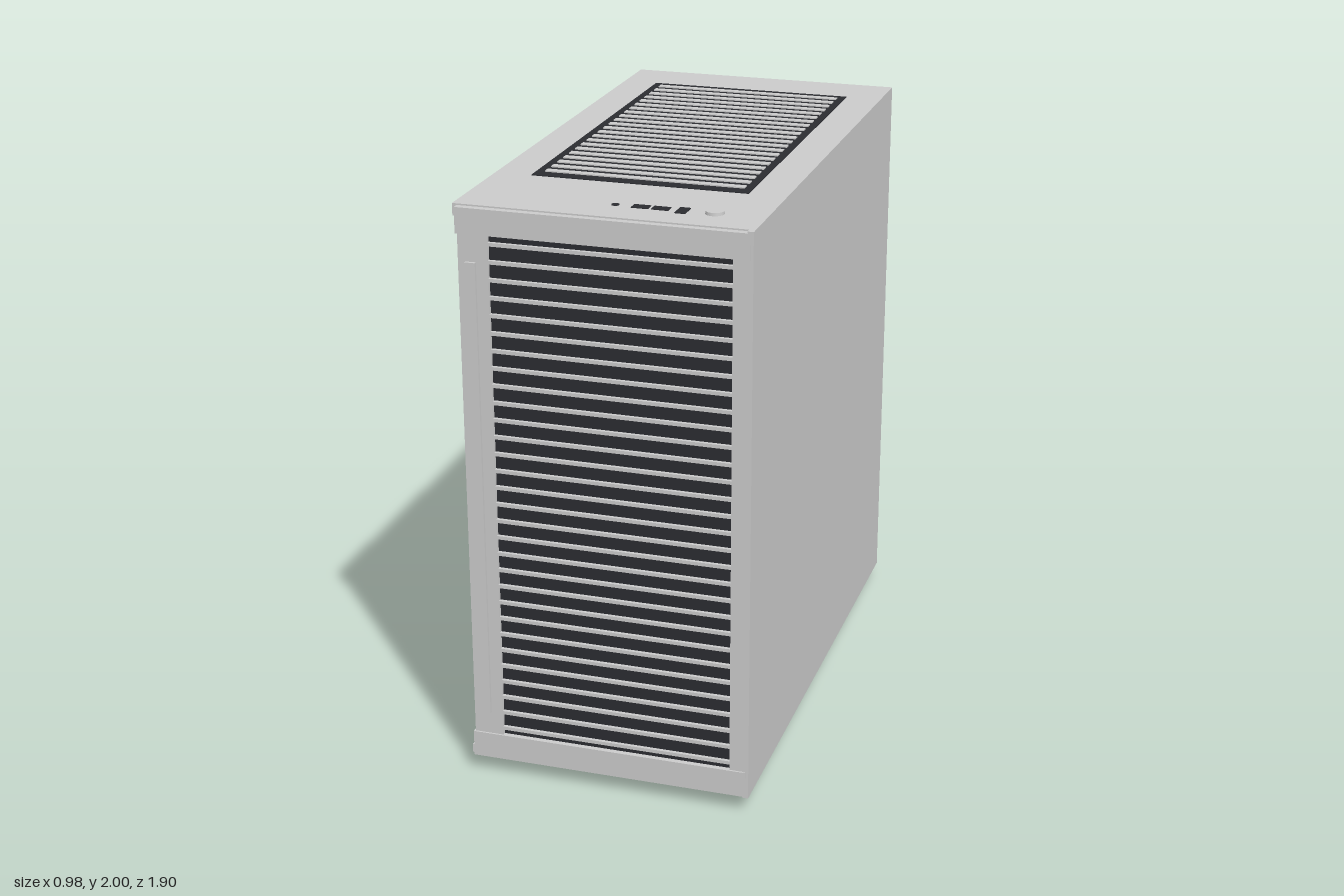
import * as THREE from 'three';

const grey = new THREE.MeshStandardMaterial({ color: 0xcccccc });
const dark = new THREE.MeshStandardMaterial({ color: 0x2b2c31 });

export function createModel() {
  const root = new THREE.Group();

  const add = (name, geometry, material, x = 0, y = 0, z = 0, parent = root) => {
    const mesh = new THREE.Mesh(geometry, material);
    mesh.name = name;
    mesh.position.set(x, y, z);
    parent.add(mesh);
    return mesh;
  };
  // Box given by its lower and upper limits on each axis
  const box = (name, [x0, x1], [y0, y1], [z0, z1], material = grey, parent = root) =>
    add(name, new THREE.BoxGeometry(x1 - x0, y1 - y0, z1 - z0), material,
      (x0 + x1) / 2, (y0 + y1) / 2, (z0 + z1) / 2, parent);
  const group = (name) => {
    const g = new THREE.Group();
    g.name = name;
    root.add(g);
    return g;
  };
  const rect = (Type, x0, x1, y0, y1) => new Type([
    new THREE.Vector2(x0, y0), new THREE.Vector2(x1, y0),
    new THREE.Vector2(x1, y1), new THREE.Vector2(x0, y1)]);

  // Case shell, open on the -x side
  box('sidePanel', [0.465, 0.485], [0.055, 1.99], [-0.945, 0.945]);
  box('floorPanel', [-0.49, 0.465], [0.055, 0.085], [-0.945, 0.925]);
  box('topPanel', [-0.49, 0.465], [1.95, 1.99], [-0.945, 0.925]);
  box('backPanel', [-0.49, 0.465], [0.085, 1.95], [-0.945, -0.925]);

  // Front frame
  box('frontTopBar', [-0.475, 0.475], [1.9, 1.985], [0.9, 0.948]);
  box('frontBottomBar', [-0.475, 0.475], [0.06, 0.15], [0.9, 0.948]);
  box('frontLeftPillar', [0.42, 0.475], [0.15, 1.9], [0.9, 0.942]);
  box('frontRightPillar', [-0.47, -0.37], [0.15, 1.9], [0.9, 0.942]);
  box('pillarTrim', [-0.445, -0.41], [0.23, 1.81], [0.94, 0.952]);

  // Front grille: dark backing with thin slats
  box('frontMesh', [-0.37, 0.42], [0.15, 1.9], [0.9, 0.93], dark);
  const frontSlats = group('frontSlats');
  for (let i = 0; i < 30; i++) {
    const y = 0.175 + i * 0.0585;
    box('frontSlat', [-0.37, 0.42], [y - 0.006, y + 0.006], [0.925, 0.942], grey, frontSlats);
  }

  // Top grille
  box('topMesh', [-0.365, 0.36], [1.945, 1.993], [-0.745, 0.56], dark);
  const topSlats = group('topSlats');
  for (let i = 0; i < 22; i++) {
    const z = -0.695 + i * 0.0571;
    box('topSlat', [-0.335, 0.335], [1.985, 1.997], [z - 0.013, z + 0.013], grey, topSlats);
  }

  // Ports and power button
  add('statusLight', new THREE.CylinderGeometry(0.013, 0.013, 0.01, 20), dark, 0, 1.987, 0.795);
  for (const [x0, x1, z0, z1] of [
    [0.055, 0.11, 0.775, 0.812], [0.12, 0.175, 0.775, 0.812], [0.2, 0.235, 0.765, 0.828]])
    box('port', [x0, x1], [1.98, 1.992], [z0, z1], dark);
  add('powerButton', new THREE.CylinderGeometry(0.029, 0.031, 0.02, 32), grey, 0.32, 1.99, 0.795);

  // Back: connector opening, power supply opening
  box('connectorOpening', [0.3, 0.425], [1.17, 1.86], [-0.95, -0.94], dark);
  box('powerSupplyOpening', [-0.23, 0.36], [0.09, 0.41], [-0.95, -0.94], dark);

  // Back fan rings
  const fan = group('fanGrille');
  for (const r of [0.24, 0.155, 0.075]) {
    const s = new THREE.Shape().absarc(0, 0, r + 0.012, 0, Math.PI * 2);
    s.holes.push(new THREE.Path().absarc(0, 0, r - 0.012, 0, Math.PI * 2));
    add('fanRing', new THREE.ExtrudeGeometry(s, { depth: 0.01, bevelEnabled: false, curveSegments: 32 }),
      grey, 0, 1.475, -0.95, fan);
  }

  // Gently rounded expansion slot covers
  const covers = group('slotCovers');
  for (let i = 0; i < 7; i++) {
    const cover = add('slotCover', new THREE.CylinderGeometry(0.037, 0.037, 0.67, 20),
      grey, 0.045, 0.62 + i * 0.084, -0.943, covers);
    cover.rotation.z = Math.PI / 2;
    cover.scale.z = 0.2;
  }

  // Power supply shroud with an opening in its top
  const shroud = group('powerSupplyShroud');
  const top = rect(THREE.Shape, -0.42, 0.465, -0.56, 0.925);
  top.holes.push(rect(THREE.Path, -0.3, 0, 0, 0.6));
  const lid = add('shroudTop', new THREE.ExtrudeGeometry(top, { depth: 0.015, bevelEnabled: false }),
    grey, 0, 0.445, 0, shroud);
  lid.rotation.x = -Math.PI / 2;
  box('shroudSide', [-0.42, -0.405], [0.085, 0.445], [-0.925, 0.56], grey, shroud);
  box('shroudFront', [-0.405, 0.465], [0.085, 0.445], [0.545, 0.56], grey, shroud);
  for (let i = 0; i < 9; i++) {
    const z = -0.64 + i * 0.127;
    box('shroudVent', [-0.424, -0.415], [0.22, 0.36], [z - 0.036, z + 0.036], dark, shroud);
  }

  // Feet
  for (const x of [-0.36, 0.36])
    for (const z of [-0.76, 0.76])
      add('foot', new THREE.CylinderGeometry(0.072, 0.07, 0.056, 32), dark, x, 0.028, z);

  return root;
}
